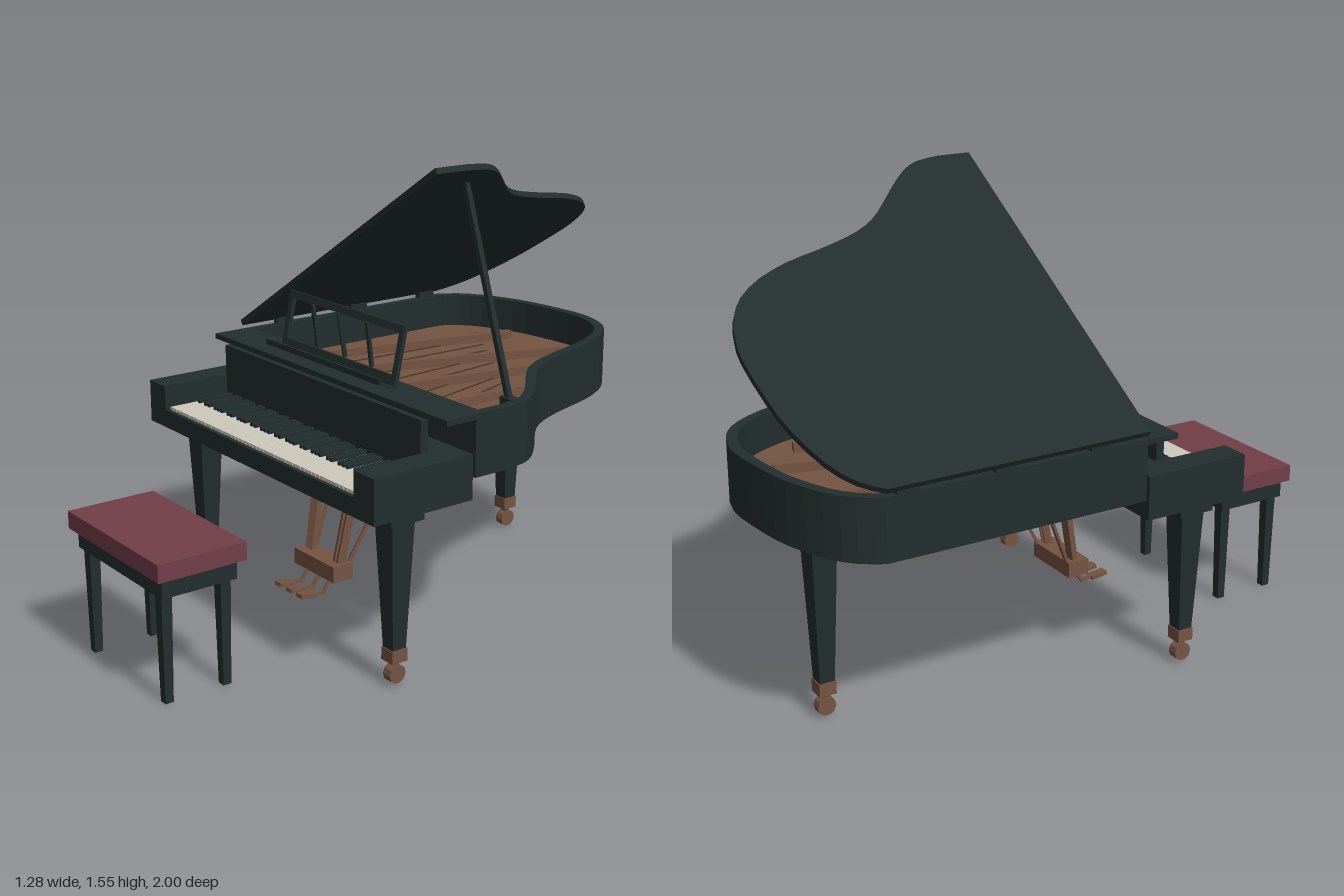
import * as THREE from 'three';

const paint = (name, color) => {
  const m = new THREE.MeshStandardMaterial({ color });
  m.name = name;
  return m;
};

export function createModel() {
  const ebony = paint('ebony', 0x232e2e);
  const wood = paint('warm wood', 0x755442);
  const darkWood = paint('dark wood', 0x4f392c);
  const ivory = paint('ivory', 0xcfcabc);
  const cushion = paint('cushion red', 0x733f48);

  const model = new THREE.Group();
  model.name = 'pianoAndBench';

  const add = (name, geo, mat, parent = model) => {
    const m = new THREE.Mesh(geo, mat);
    m.name = name;
    parent.add(m);
    return m;
  };
  // box given by its minimum and maximum on each axis
  const box = (name, mat, x0, x1, y0, y1, z0, z1, parent) => {
    const m = add(name, new THREE.BoxGeometry(x1 - x0, y1 - y0, z1 - z0), mat, parent);
    m.position.set((x0 + x1) / 2, (y0 + y1) / 2, (z0 + z1) / 2);
    return m;
  };
  // straight rectangular bar between two points
  const bar = (name, mat, a, b, w, h, parent) => {
    const p = new THREE.Vector3(...a), q = new THREE.Vector3(...b);
    const m = add(name, new THREE.BoxGeometry(w, h, p.distanceTo(q)), mat, parent);
    m.position.copy(p).add(q).multiplyScalar(0.5);
    m.lookAt(q);
    return m;
  };
  const flat = (geo) => {
    const g = geo.toNonIndexed();
    g.computeVertexNormals();
    return g;
  };
  // square post tapering from top to bottom width
  const post = (name, mat, x, z, y0, y1, wTop, wBottom, parent) => {
    const g = new THREE.CylinderGeometry(wTop * Math.SQRT1_2, wBottom * Math.SQRT1_2, y1 - y0, 4);
    const m = add(name, flat(g.rotateY(Math.PI / 4)), mat, parent);
    m.position.set(x, (y0 + y1) / 2, z);
    return m;
  };

  // case outline as (x, -z): curved side, round tail, straight spine
  const curve = new THREE.SplineCurve([
    [0.637, 0.01], [0.622, 0.1], [0.585, 0.165], [0.515, 0.24], [0.415, 0.335], [0.36, 0.405],
    [0.32, 0.49], [0.283, 0.605], [0.25, 0.72], [0.2, 0.83], [0.135, 0.915], [0.06, 0.965],
    [-0.02, 0.99], [-0.1, 1], [-0.255, 0.987], [-0.375, 0.965], [-0.51, 0.913], [-0.593, 0.85],
    [-0.637, 0.78],
  ].map(([x, y]) => new THREE.Vector2(x, y)));
  const outline = [new THREE.Vector2(-0.637, -0.11), new THREE.Vector2(0.637, -0.11), ...curve.getPoints(36)];
  const inset = (pts, d) => pts.map((p, i) => {
    const n = pts.length;
    const a = p.clone().sub(pts[(i + n - 1) % n]).normalize();
    const b = pts[(i + 1) % n].clone().sub(p).normalize();
    const na = new THREE.Vector2(-a.y, a.x), nb = new THREE.Vector2(-b.y, b.x);
    return p.clone().add(na.clone().add(nb).multiplyScalar(d / (1 + na.dot(nb))));
  });
  const slab = (pts, y0, y1, hole) => {
    const s = new THREE.Shape(pts);
    if (hole) s.holes.push(new THREE.Path(hole));
    return new THREE.ExtrudeGeometry(s, { depth: y1 - y0, bevelEnabled: false })
      .rotateX(-Math.PI / 2).translate(0, y0, 0);
  };

  // case, soundboard and iron-frame struts
  const inner = inset(outline, 0.034);
  add('caseBottom', slab(outline, 0.648, 0.69), ebony);
  add('caseRim', slab(outline, 0.69, 0.848, inner), ebony);
  add('soundboard', slab(inner, 0.69, 0.73), wood);
  for (const [x0, z0, x1, z1] of [[-0.5, -0.05, -0.3, -0.86], [-0.3, 0.03, -0.02, -0.85], [-0.02, 0.03, 0.12, -0.72], [0.25, 0.03, 0.27, -0.4]])
    bar('frameStrut', wood, [x0, 0.745, z0], [x1, 0.745, z1], 0.022, 0.03);
  for (let i = 0; i < 9; i++)
    bar('string', darkWood, [-0.5 + i * 0.1, 0.733, 0.05], [-0.42 + i * 0.07, 0.733, -0.8 + i * 0.045], 0.004, 0.004);
  box('pinBlock', wood, -0.56, 0.57, 0.73, 0.75, 0.02, 0.075);

  // lid hinged on the spine, with its prop
  const lid = new THREE.Group();
  lid.name = 'lid';
  lid.position.set(-0.637, 0.86, 0);
  lid.rotation.z = 0.56;
  add('lidPanel', slab(outline, 0, 0.02).translate(0.637, 0, 0), ebony, lid);
  model.add(lid);
  for (const z of [-0.06, -0.39, -0.71]) box('hinge', ebony, -0.637, -0.615, 0.845, 0.868, z - 0.035, z + 0.035);
  bar('lidProp', ebony, [0.565, 0.84, -0.083], [0.345, 1.48, -0.083], 0.018, 0.018);
  box('propBlock', ebony, 0.54, 0.61, 0.825, 0.849, -0.1, -0.066);

  // keybed, cheeks, fallboard and front shelf
  box('keybed', ebony, -0.637, 0.637, 0.58, 0.625, 0.12, 0.49);
  box('keySlip', ebony, -0.54, 0.54, 0.625, 0.642, 0.476, 0.49);
  for (const s of [-1, 1]) {
    const c = box('cheek', ebony, -0.05, 0.05, 0.625, 0.725, 0.12, 0.49);
    c.position.x = s * 0.587;
  }
  box('keyBackRail', ebony, -0.54, 0.54, 0.625, 0.725, 0.12, 0.24);
  box('fallboard', ebony, -0.54, 0.54, 0.67, 0.83, 0.215, 0.243);
  box('frontShelf', ebony, -0.637, 0.637, 0.83, 0.848, 0.1, 0.223);

  // keyboard: 52 naturals and 36 sharps
  const keys = new THREE.Group();
  keys.name = 'keyboard';
  model.add(keys);
  box('keyGap', darkWood, -0.535, 0.535, 0.625, 0.64, 0.24, 0.474, keys);
  const pitch = 1.06 / 52;
  for (let i = 0; i < 52; i++) {
    const x = -0.53 + i * pitch;
    box('whiteKey', ivory, x + 0.0007, x + pitch - 0.0007, 0.63, 0.652, 0.24, 0.475, keys);
    // sharps follow A, C, D, F and G
    if (i < 51 && [0, 2, 3, 5, 6].includes(i % 7))
      box('blackKey', ebony, x + pitch - 0.006, x + pitch + 0.006, 0.645, 0.664, 0.24, 0.375, keys);
  }

  // music desk leaning back on its tray
  const desk = new THREE.Group();
  desk.name = 'musicDesk';
  desk.position.set(0, 0.855, 0.158);
  desk.rotation.x = -0.215;
  model.add(desk);
  box('deskBottomRail', ebony, -0.312, 0.308, 0, 0.04, -0.007, 0.007, desk);
  box('deskTopRail', ebony, -0.312, 0.308, 0.175, 0.2, -0.007, 0.007, desk);
  for (const x of [-0.312, 0.286]) box('deskPost', ebony, x, x + 0.022, 0.04, 0.175, -0.007, 0.007, desk);
  for (const [t, b] of [[-0.125, -0.178], [-0.027, 0.02], [0.17, 0.118]])
    bar('deskSlat', ebony, [t, 0.178, 0], [b, 0.037, 0], 0.01, 0.013, desk);
  const tray = box('deskTray', ebony, -0.315, 0.31, 0.865, 0.874, 0.15, 0.22);
  tray.rotation.x = -0.38;
  box('deskLip', ebony, -0.315, 0.31, 0.878, 0.897, 0.213, 0.221);

  // tapered legs with wooden cuffs and casters
  for (const [x, z, top, cap] of [[-0.537, 0.337, 0.582, 0.04], [0.537, 0.337, 0.582, 0.04], [-0.258, -0.817, 0.65, 0.03]]) {
    const leg = new THREE.Group();
    leg.name = 'leg';
    model.add(leg);
    post('legCap', ebony, x, z, top - cap, top, 0.125, 0.125, leg);
    post('legShaft', ebony, x, z, 0.12, top - cap, 0.086, 0.05, leg);
    post('legCuff', wood, x, z, 0.08, 0.123, 0.057, 0.057, leg);
    post('casterStem', darkWood, x, z, 0.05, 0.08, 0.02, 0.02, leg);
    const wheel = add('casterWheel', flat(new THREE.CylinderGeometry(0.031, 0.031, 0.034, 10).rotateZ(Math.PI / 2)), wood, leg);
    wheel.position.set(x, 0.037, z);
  }

  // pedal lyre
  const lyre = new THREE.Group();
  lyre.name = 'pedalLyre';
  model.add(lyre);
  box('lyreBox', wood, -0.113, 0.111, 0.165, 0.22, 0.178, 0.258, lyre);
  for (const s of [-1, 1]) {
    for (const [b, t] of [[0.07, 0.09], [0.088, 0.113]])
      bar('lyreColumn', wood, [s * b, 0.21, 0.215], [s * t, 0.6, 0.14], 0.015, 0.026, lyre);
    bar('lyreBrace', wood, [s * 0.09, 0.2, 0.19], [s * 0.172, 0.65, -0.02], 0.01, 0.012, lyre);
  }
  for (const x of [-0.064, 0, 0.06]) {
    bar('pedalStem', wood, [x, 0.17, 0.225], [x, 0.118, 0.265], 0.012, 0.01, lyre);
    bar('pedalArm', wood, [x, 0.118, 0.26], [x, 0.125, 0.31], 0.014, 0.01, lyre);
    bar('pedalPad', wood, [x, 0.122, 0.3], [x, 0.13, 0.36], 0.034, 0.013, lyre);
  }

  // bench
  const bench = new THREE.Group();
  bench.name = 'bench';
  model.add(bench);
  box('benchCushion', cushion, -0.28, 0.277, 0.412, 0.47, 0.695, 1, bench);
  box('benchApron', ebony, -0.26, 0.256, 0.35, 0.412, 0.718, 0.978, bench);
  for (const x of [-0.223, 0.219]) for (const z of [0.748, 0.952])
    post('benchLeg', ebony, x, z, 0, 0.35, 0.037, 0.028, bench);

  return model;
}
